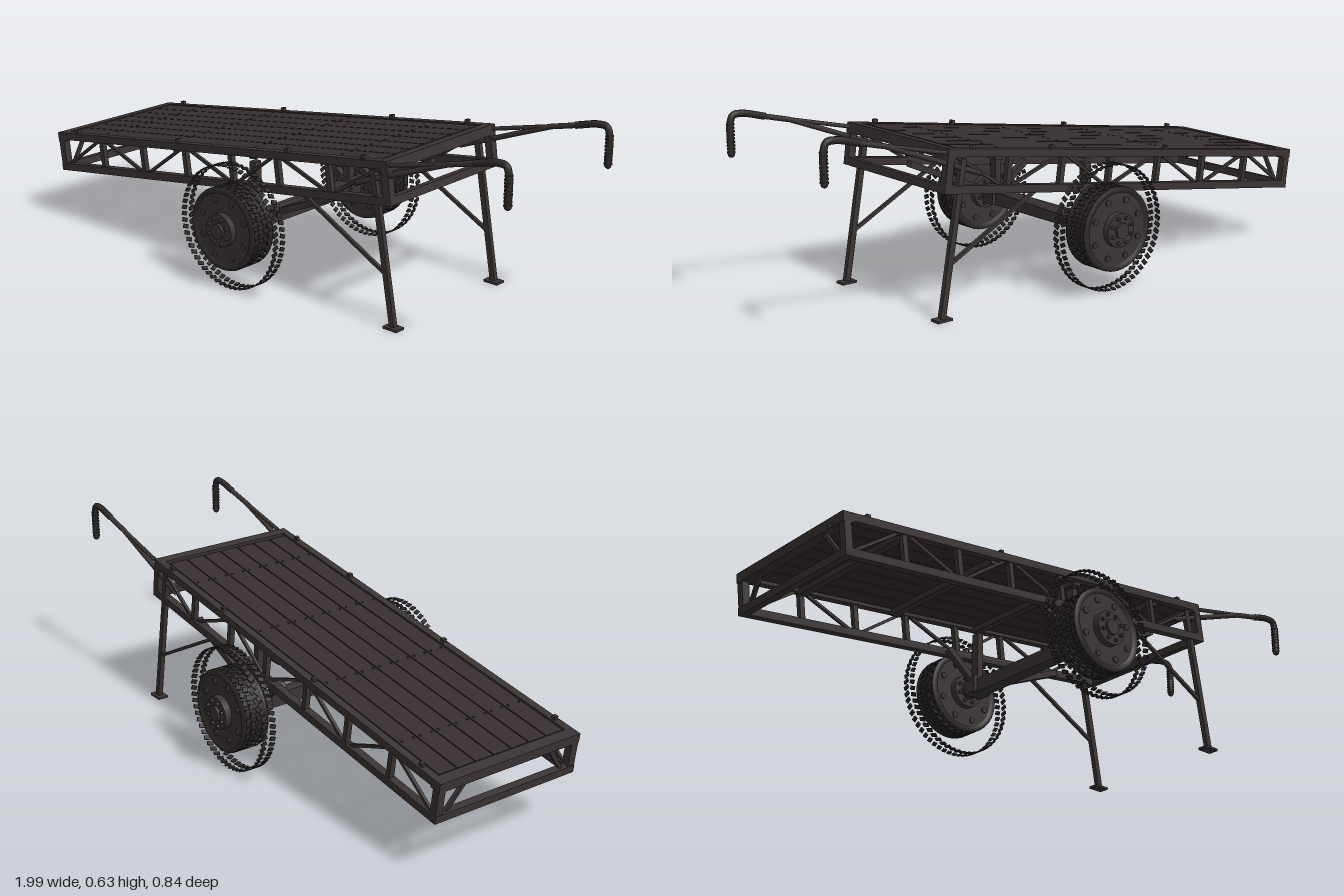
import * as THREE from 'three';

const frameMat = new THREE.MeshStandardMaterial({ color: 0x3b3434 });
frameMat.name = 'dark iron';
const plankMat = new THREE.MeshStandardMaterial({ color: 0x372f2f });
plankMat.name = 'dark wood';
const rubberMat = new THREE.MeshStandardMaterial({ color: 0x2e2929 });
rubberMat.name = 'black rubber';

const V = (x, y, z) => new THREE.Vector3(x, y, z);

function add(parent, name, geo, mat, x = 0, y = 0, z = 0) {
  const m = new THREE.Mesh(geo, mat);
  m.name = name;
  m.position.set(x, y, z);
  parent.add(m);
  return m;
}

const box = (parent, name, w, h, d, x, y, z, mat = frameMat) =>
  add(parent, name, new THREE.BoxGeometry(w, h, d), mat, x, y, z);

// Straight bar between two points; round when sides are given
function bar(parent, name, a, b, w, d = w, round = false) {
  const dir = b.clone().sub(a);
  const len = dir.length();
  const geo = round ? new THREE.CylinderGeometry(w / 2, w / 2, len, 10) : new THREE.BoxGeometry(w, len, d);
  const mid = a.clone().add(b).multiplyScalar(0.5);
  const m = add(parent, name, geo, frameMat, mid.x, mid.y, mid.z);
  m.quaternion.setFromUnitVectors(V(0, 1, 0), dir.normalize());
  return m;
}

// Ring of slanted tread pads around the wheel axis (z)
function treadRing(parent, name, radius, z, count, size, slant, phase) {
  const ring = new THREE.Group();
  ring.name = name;
  const geo = new THREE.BoxGeometry(...size);
  for (let i = 0; i < count; i++) {
    const a = ((i + phase) / count) * Math.PI * 2;
    const pad = add(ring, 'treadPad', geo, rubberMat, Math.cos(a) * radius, Math.sin(a) * radius, z);
    pad.rotation.set(slant, 0, a, 'ZXY');
    pad.rotation.order = 'ZXY';
    pad.quaternion.setFromAxisAngle(V(0, 0, 1), a)
      .multiply(new THREE.Quaternion().setFromAxisAngle(V(1, 0, 0), slant));
  }
  parent.add(ring);
}

// Tilted truss bed: local x runs along the bed, y = 0 is its top
function makeBed() {
  const bed = new THREE.Group();
  bed.name = 'bed';
  bed.position.set(-1, 0.325, 0);
  bed.rotation.z = 0.1385;
  const L = 1.56, H = 0.14, t = 0.026;
  const posts = [0.015, 0.23, 0.445, 0.66, 0.88, 1.09, 1.31, L - 0.013];

  for (const s of [1, -1]) {
    const z = s * 0.262;
    box(bed, 'topRail', L, t, t, L / 2, -t / 2, z);
    box(bed, 'bottomRail', L, t, t, L / 2, -H + t / 2, z);
    posts.forEach((x, i) => {
      const end = i === 0 || i === posts.length - 1;
      const w = end ? t : 0.018;
      box(bed, 'trussPost', w, H - 0.01, w, x, -H / 2, z);
      if (i === posts.length - 1) return;
      const up = i % 2 === 0;
      bar(bed, 'trussDiagonal', V(x + 0.015, up ? -H + 0.02 : -0.02, z),
        V(posts[i + 1] - 0.015, up ? -0.02 : -H + 0.02, z), 0.01);
    });
    // Corner braces at the low end
    bar(bed, 'cornerBrace', V(0.015, -H + 0.02, s * 0.23), V(0.015, -0.03, s * 0.165), 0.012);
    for (const x of [0.1, 0.63, 1.14, 1.46])
      box(bed, 'railStud', 0.014, 0.014, 0.014, x, 0.005, z);
  }

  box(bed, 'lowEndBeam', 0.04, 0.032, 0.55, 0.02, -0.016, 0);
  box(bed, 'highEndBeam', 0.034, 0.034, 0.55, L - 0.017, -0.017, 0);
  box(bed, 'lowEndBottomBeam', t, t, 0.55, t / 2, -H + t / 2, 0);
  box(bed, 'highEndBottomBeam', t, t, 0.55, L - t / 2, -H + t / 2, 0);

  // Seven deck boards on joists, with bolt heads
  const bolt = new THREE.CylinderGeometry(0.004, 0.004, 0.004, 6);
  const joists = [0.23, 0.605, 0.97, 1.345];
  for (let i = -3; i <= 3; i++) {
    box(bed, 'deckBoard', 1.465, 0.015, 0.066, 0.7775, -0.0095, i * 0.07, plankMat);
    for (const x of joists) for (const o of [-0.022, 0.022])
      add(bed, 'deckBolt', bolt, frameMat, x, -0.001, i * 0.07 + o);
  }
  for (const x of joists) box(bed, 'joist', 0.03, 0.02, 0.51, x, -0.027, 0);
  return bed;
}

// Wheel centred on its own axis, outer face toward +z
function makeWheel() {
  const wheel = new THREE.Group();
  wheel.name = 'wheel';
  const profile = [[0.05, -0.035], [0.118, -0.035], [0.122, -0.047], [0.139, -0.047], [0.141, -0.04],
    [0.135, -0.036], [0.137, 0], [0.135, 0.036], [0.141, 0.04], [0.139, 0.047], [0.122, 0.047],
    [0.118, 0.035], [0.05, 0.035]].map(([x, y]) => new THREE.Vector2(x, y));
  const tyre = add(wheel, 'tyre', new THREE.LatheGeometry(profile, 40), rubberMat);
  tyre.rotation.x = Math.PI / 2;

  const disc = (name, r, depth, z, n = 28) => {
    add(wheel, name, new THREE.CylinderGeometry(r, r, depth, n), frameMat, 0, 0, z).rotation.x = Math.PI / 2;
  };
  disc('rimDisc', 0.121, 0.082, 0);
  disc('hubFlange', 0.057, 0.128, 0);
  disc('hub', 0.026, 0.148, 0);
  disc('innerHub', 0.03, 0.03, -0.065);
  for (let i = 0; i < 8; i++) {
    const a = ((i + 0.5) / 8) * Math.PI * 2;
    const c = Math.cos(a), s = Math.sin(a);
    const m = add(wheel, 'rimBolt', new THREE.CylinderGeometry(0.011, 0.011, 0.092, 8), frameMat, c * 0.1, s * 0.1, 0);
    m.rotation.x = Math.PI / 2;
    const n = add(wheel, 'hubBolt', new THREE.CylinderGeometry(0.006, 0.006, 0.15, 6), frameMat, c * 0.043, s * 0.043, 0);
    n.rotation.x = Math.PI / 2;
  }

  // Tread on the tyre, then the two wide outer rings
  [-0.03, -0.011, 0.011, 0.03].forEach((z, i) =>
    treadRing(wheel, 'tyreTread', 0.137, z, 30, [0.007, 0.017, 0.016], i < 2 ? 0.35 : -0.35, (i % 2) / 2));
  for (const s of [1, -1])
    treadRing(wheel, 'outerTread', 0.208, s * 0.016, 58, [0.004, 0.014, 0.021], s * 0.4, s > 0 ? 0 : 0.5);
  return wheel;
}

function makeHandle(z) {
  const handle = new THREE.Group();
  handle.name = 'handle';
  const path = new THREE.CurvePath();
  const pts = [V(0.42, 0.445, z), V(0.77, 0.577, z), V(0.94, 0.618, z), V(0.982, 0.59, z), V(0.982, 0.5, z)];
  path.add(new THREE.LineCurve3(pts[0], pts[1]));
  path.add(new THREE.LineCurve3(pts[1], pts[2]));
  path.add(new THREE.QuadraticBezierCurve3(pts[2], V(0.982, 0.628, z), pts[3]));
  path.add(new THREE.LineCurve3(pts[3], pts[4]));
  add(handle, 'handleTube', new THREE.TubeGeometry(path, 60, 0.009, 10), frameMat);
  bar(handle, 'upperHandleRod', V(0.5, 0.515, z), V(0.78, 0.58, z), 0.014, 0.014, true);
  // Sleeve along the bend and ribbed grip below it
  const bend = new THREE.CatmullRomCurve3([V(0.86, 0.599, z), V(0.94, 0.618, z), V(0.972, 0.615, z), V(0.982, 0.59, z), V(0.982, 0.495, z)]);
  add(handle, 'gripSleeve', new THREE.TubeGeometry(bend, 32, 0.0115, 10), rubberMat);
  add(handle, 'gripEnd', new THREE.SphereGeometry(0.0115, 10, 8), rubberMat, 0.982, 0.495, z);
  for (let i = 0; i < 9; i++)
    add(handle, 'gripRib', new THREE.CylinderGeometry(0.0135, 0.0135, 0.005, 10), rubberMat, 0.982, 0.5 + i * 0.011, z);
  return handle;
}

export function createModel() {
  const cart = new THREE.Group();
  cart.name = 'handCart';
  cart.add(makeBed());

  // Axle
  const ax = -0.04, ay = 0.213;
  box(cart, 'axleBeam', 0.045, 0.048, 0.46, ax, ay - 0.008, 0);
  bar(cart, 'axleShaft', V(ax, ay, -0.4), V(ax, ay, 0.4), 0.036, 0.036, true);

  for (const s of [1, -1]) {
    const wheel = makeWheel();
    wheel.position.set(ax, ay, s * 0.346);
    if (s < 0) wheel.rotation.y = Math.PI;
    cart.add(wheel);

    // Axle hangers and stays up to the bed
    const z = s * 0.235;
    box(cart, 'axleBlock', 0.07, 0.06, 0.05, ax, ay, z);
    box(cart, 'axleHanger', 0.024, 0.2, 0.03, ax, 0.31, z);
    bar(cart, 'rearStay', V(ax, ay, z), V(0.33, 0.375, z), 0.022);
    bar(cart, 'frontStay', V(ax, ay, z), V(-0.17, 0.315, z), 0.022);

    // Support leg with foot and brace
    const lz = s * 0.263;
    bar(cart, 'leg', V(0.485, 0.5, lz), V(0.572, 0.008, lz), 0.02, 0.017);
    box(cart, 'foot', 0.056, 0.008, 0.038, 0.572, 0.004, lz);
    bar(cart, 'legBrace', V(0.538, 0.175, lz), V(0.2, 0.355, lz), 0.011);

    cart.add(makeHandle(lz));
  }
  return cart;
}
